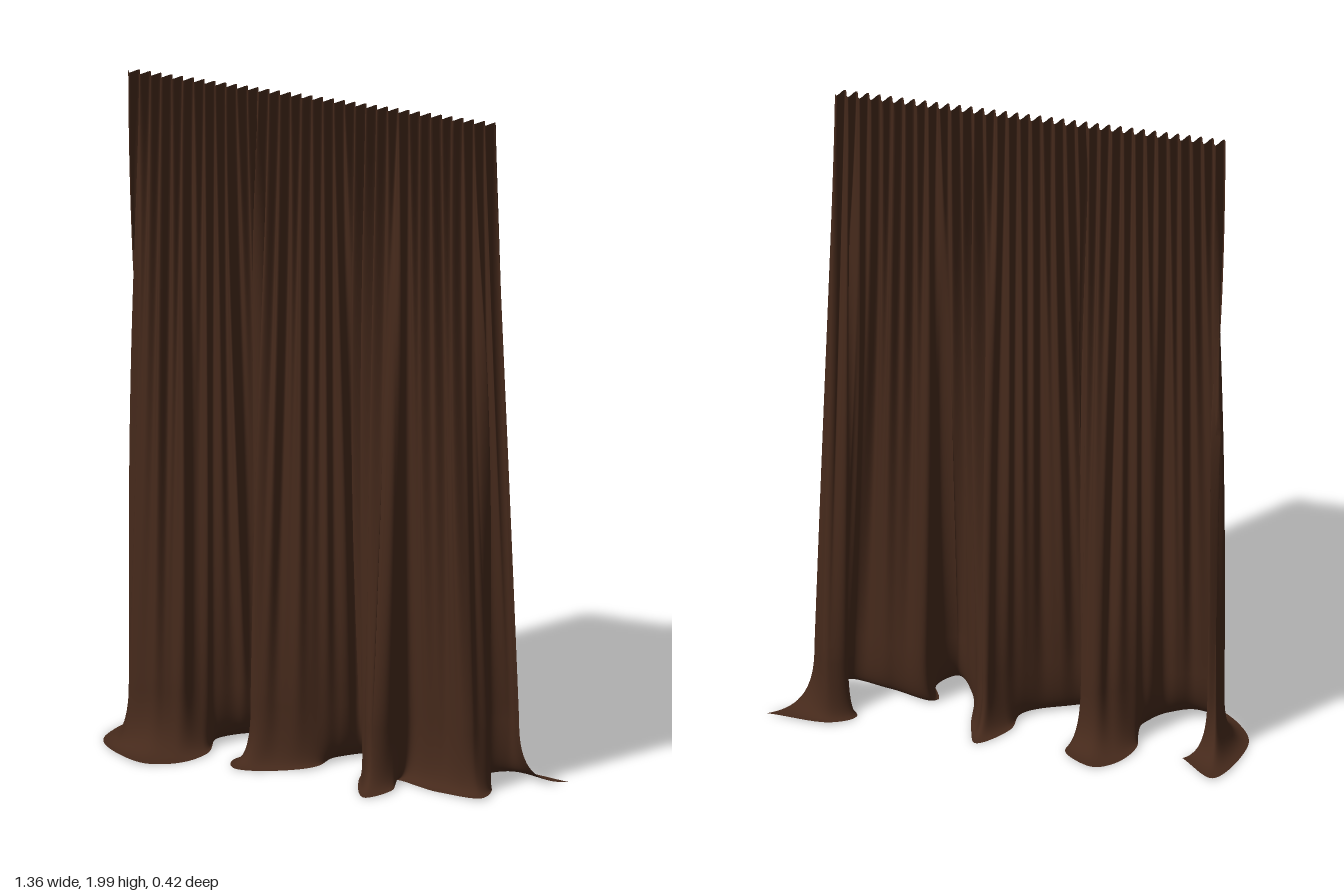
import * as THREE from 'three';

// Fold guides from left to right: heading x, skirt x, skirt z, hem x, hem z
const FOLDS = [
  [-0.62, -0.58, -0.04, -0.52, -0.10], [-0.605, -0.605, -0.05, -0.63, -0.19],
  [-0.59, -0.61, 0.0, -0.68, 0.03], [-0.57, -0.59, 0.065, -0.62, 0.13],
  [-0.52, -0.51, 0.08, -0.48, 0.21], [-0.45, -0.44, 0.06, -0.40, 0.16],
  [-0.40, -0.39, 0.01, -0.35, 0.06], [-0.36, -0.36, -0.03, -0.38, -0.08],
  [-0.32, -0.31, -0.07, -0.34, -0.17], [-0.27, -0.26, -0.09, -0.28, -0.21],
  [-0.22, -0.21, -0.06, -0.19, -0.15], [-0.21, -0.21, 0.0, -0.20, -0.07],
  [-0.20, -0.22, 0.04, -0.26, 0.07], [-0.17, -0.19, 0.07, -0.23, 0.14],
  [-0.11, -0.12, 0.05, -0.13, 0.11], [-0.04, -0.04, 0.01, -0.02, 0.03],
  [0.02, 0.02, -0.04, -0.01, -0.07], [0.06, 0.06, -0.08, 0.07, -0.16],
  [0.10, 0.09, -0.03, 0.10, -0.09], [0.14, 0.14, 0.06, 0.14, 0.10],
  [0.19, 0.19, 0.12, 0.21, 0.21], [0.22, 0.23, 0.07, 0.26, 0.13],
  [0.25, 0.26, 0.0, 0.23, 0.04], [0.33, 0.36, 0.02, 0.38, 0.08],
  [0.42, 0.47, 0.04, 0.52, 0.09], [0.45, 0.50, -0.01, 0.51, 0.0],
  [0.48, 0.46, -0.08, 0.43, -0.10], [0.50, 0.51, -0.12, 0.49, -0.16],
  [0.52, 0.56, -0.07, 0.68, -0.15],
];

const TOP = 2, SKIRT = 0.2, FLOOR = 0.01, PLEATS = 34;
const COLS = 720, HANG_ROWS = 54, FLARE_ROWS = 20;

const upper = new THREE.CatmullRomCurve3(FOLDS.map(([t, x, z]) => new THREE.Vector3(t, x, z)));
const hem = new THREE.CatmullRomCurve3(FOLDS.map((f) => new THREE.Vector3(f[3], 0, f[4])));

// Smooth cloth position, before the small pleats are added
function drape(u, row) {
  const a = upper.getPoint(u);
  if (row <= HANG_ROWS) {
    const q = row / HANG_ROWS;
    return new THREE.Vector3(
      THREE.MathUtils.lerp(a.x, a.y, Math.pow(q, 1.4)),
      THREE.MathUtils.lerp(TOP, SKIRT, q),
      a.z * Math.pow(q, 1.2),
    );
  }
  // The last stretch bends outward and lies down on the floor
  const s = (row - HANG_ROWS) / FLARE_ROWS;
  const h = hem.getPoint(u);
  return new THREE.Vector3(
    THREE.MathUtils.lerp(a.y, h.x, s * s),
    FLOOR + (SKIRT - FLOOR) * (1 - s) ** 2.2 + 0.003 * s * s * Math.sin(u * 60),
    THREE.MathUtils.lerp(a.z, h.z, s * s),
  );
}

// Tight even pleats at the heading that merge into wider, uneven folds
function ripple(u, topX, y) {
  const down = (TOP - y) / TOP;
  const phase = ((topX + 0.62) / 1.14) * PLEATS * Math.PI * 2;
  const pleat = 0.018 * Math.sin(phase) * Math.pow(1 - down, 1.5);
  const wave = Math.sin(u * 112 + 0.8 * Math.sin(u * 31))
    + 0.8 * Math.sin(u * 171 + 1.3) + 0.5 * Math.sin(u * 67 + 2.1);
  return pleat + 0.011 * wave * Math.pow(Math.sin(Math.PI * Math.min(1, down)), 0.9);
}

function clothGeometry() {
  const positions = [], index = [], rows = HANG_ROWS + FLARE_ROWS;
  const du = 0.004;
  for (let r = 0; r <= rows; r++) {
    for (let c = 0; c <= COLS; c++) {
      const u = c / COLS;
      const p = drape(u, r);
      const a = drape(Math.max(0, u - du), r), b = drape(Math.min(1, u + du), r);
      const dx = b.x - a.x, dz = b.z - a.z, len = Math.hypot(dx, dz) || 1;
      const d = ripple(u, upper.getPoint(u).x, p.y);
      positions.push(p.x - (dz / len) * d, p.y, p.z + (dx / len) * d);
      if (r < rows && c < COLS) {
        const i = r * (COLS + 1) + c, j = i + COLS + 1;
        index.push(i, j, i + 1, i + 1, j, j + 1);
      }
    }
  }
  const g = new THREE.BufferGeometry();
  g.setAttribute('position', new THREE.Float32BufferAttribute(positions, 3));
  g.setIndex(index);
  g.computeVertexNormals();
  return g;
}

export function createModel() {
  const group = new THREE.Group();
  group.name = 'curtain';
  const material = new THREE.MeshStandardMaterial({ color: 0x45291b, side: THREE.DoubleSide });
  const cloth = new THREE.Mesh(clothGeometry(), material);
  cloth.name = 'curtainCloth';
  group.add(cloth);
  return group;
}
